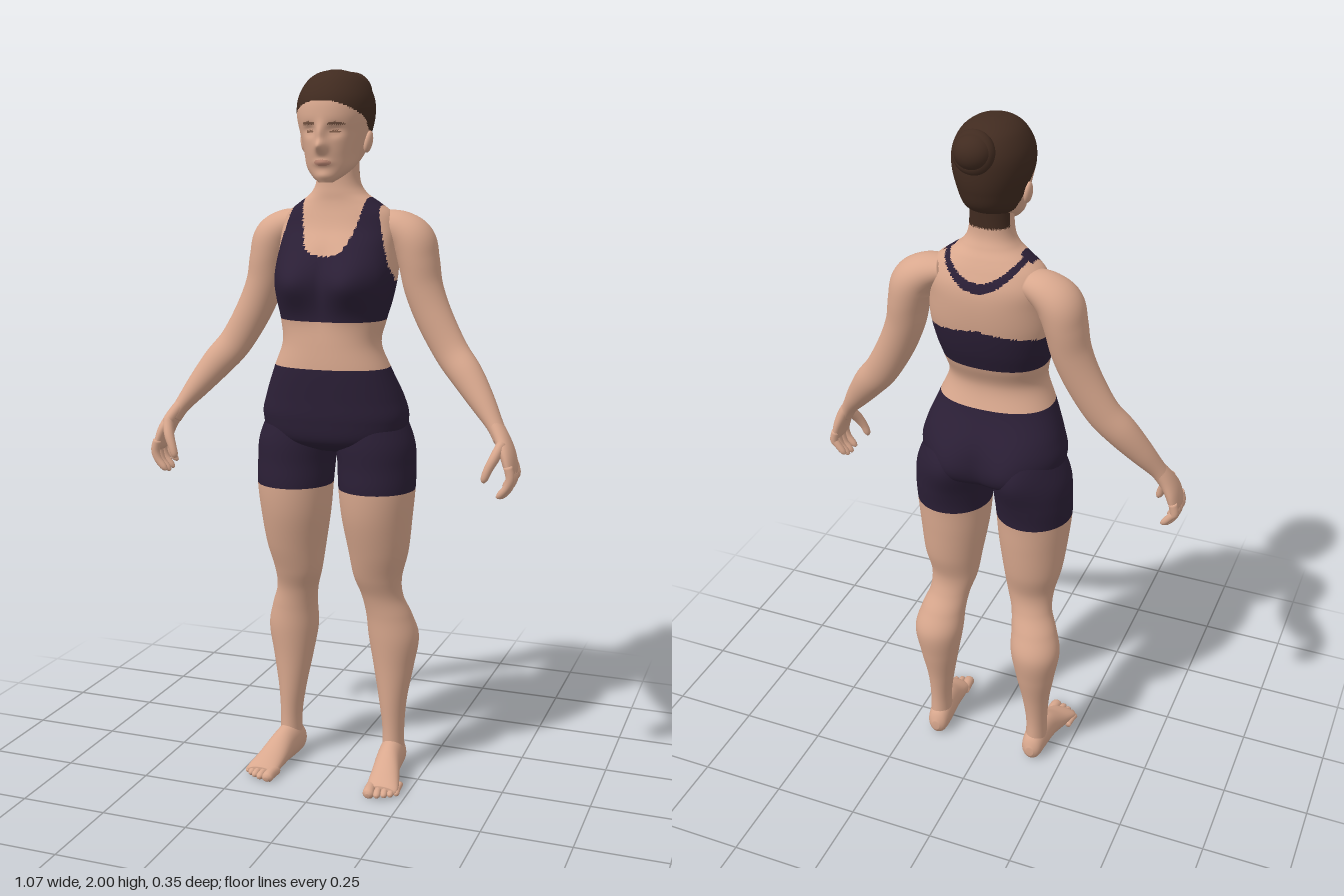
import * as THREE from 'three';

const flat = (name, color) => {
  const m = new THREE.MeshStandardMaterial({ color });
  m.name = name;
  return m;
};
const bell = (a, b) => Math.exp(-a * a - b * b);

// Smooth interpolation through rows of numbers
function sample(rows, t) {
  const n = rows.length - 1;
  const i = Math.min(Math.floor(t * n), n - 1), f = t * n - i;
  const row = k => rows[Math.max(0, Math.min(n, k))];
  return rows[0].map((_, c) => {
    const [a, b, d, e] = [row(i - 1)[c], row(i)[c], row(i + 1)[c], row(i + 2)[c]];
    const m0 = (d - a) / 2, m1 = (e - b) / 2;
    return b + f * (m0 + f * (3 * (d - b) - 2 * m0 - m1 + f * (2 * (b - d) + m0 + m1)));
  });
}

// Closed loft through sections [x, y, z, radiusU, radiusW].
// dir fixes the ring axis; shape moves vertices; paint picks a material index.
function loft(name, rows, mats, { seg = 14, rings = 14, ref = [0, 0, 1], dir, power = 2, shape, paint } = {}) {
  const pos = [], W = new THREE.Vector3(...ref);
  const at = t => new THREE.Vector3(...sample(rows, t).slice(0, 3));
  const put = v => { if (shape) shape(v); pos.push(v.x, v.y, v.z); };
  const round = c => Math.sign(c) * Math.pow(Math.abs(c), 2 / power);
  for (let i = 0; i <= rings; i++) {
    const t = i / rings, s = sample(rows, t);
    const axis = dir ? new THREE.Vector3(...dir)
      : at(Math.min(1, t + 0.02)).sub(at(Math.max(0, t - 0.02))).normalize();
    const w = W.clone().addScaledVector(axis, -W.dot(axis)).normalize();
    const u = axis.clone().cross(w);
    for (let j = 0; j < seg; j++) {
      const a = j / seg * Math.PI * 2;
      put(at(t).addScaledVector(u, s[3] * round(Math.cos(a))).addScaledVector(w, s[4] * round(Math.sin(a))));
    }
  }
  put(at(0));
  put(at(1));
  const faces = mats.map(() => []), first = (rings + 1) * seg;
  const face = (...f) => {
    const c = new THREE.Vector3();
    f.forEach(k => c.add(new THREE.Vector3(pos[k * 3], pos[k * 3 + 1], pos[k * 3 + 2])));
    faces[paint ? paint(c.divideScalar(3)) : 0].push(...f);
  };
  for (let j = 0; j < seg; j++) {
    const k = (j + 1) % seg;
    for (let i = 0; i < rings; i++) {
      const a = i * seg + j, b = i * seg + k;
      face(a, a + seg, b);
      face(b, a + seg, b + seg);
    }
    face(first, j, k);
    face(first + 1, rings * seg + k, rings * seg + j);
  }
  const g = new THREE.BufferGeometry();
  g.setAttribute('position', new THREE.Float32BufferAttribute(pos, 3));
  g.setIndex(faces.flat());
  let start = 0;
  faces.forEach((f, m) => { g.addGroup(start, f.length, m); start += f.length; });
  g.computeVertexNormals();
  const mesh = new THREE.Mesh(g, mats);
  mesh.name = name;
  return mesh;
}

// Chest and seat fullness
function bodyShape(v) {
  const ax = Math.abs(v.x);
  if (v.z > 0) v.z += 0.055 * bell((ax - 0.08) / 0.075, (v.y - 1.44) / 0.07) * Math.min(1, v.z / 0.06);
  else v.z -= 0.035 * bell((ax - 0.09) / 0.08, (v.y - 1.03) / 0.08) * Math.min(1, -v.z / 0.05);
}

// Top with scooped neckline, shoulder straps and a back band
function inTop({ x, y, z }) {
  const ax = Math.abs(x);
  if (y < 1.335 || y > 1.68) return false;
  if (y < 1.44) return true;
  if (z > (y > 1.6 ? -0.045 : 0.01)) {
    return y < 1.51 + 0.12 * Math.pow(ax / 0.085, 4) && ax < 0.168 - (y - 1.46) * 0.25;
  }
  return y < 1.465 - ax * 0.15 || Math.abs(y - 1.585 - 6 * x * x) < 0.013;
}

// Brow, sockets, nose, lips and chin
function faceShape(v) {
  if (v.z < 0.03) return;
  const ax = Math.abs(v.x), { y } = v;
  v.z += 0.026 * bell(v.x / 0.015, (y - 1.797) / 0.016) + 0.014 * bell(v.x / 0.013, (y - 1.83) / 0.025)
    - 0.013 * bell((ax - 0.036) / 0.018, (y - 1.838) / 0.014)
    + 0.005 * bell((ax - 0.036) / 0.012, (y - 1.835) / 0.007)
    + 0.007 * bell(v.x / 0.022, (y - 1.755) / 0.009)
    + 0.005 * bell(v.x / 0.022, (y - 1.72) / 0.012);
}

const hairline = [[-0.2, 1.72], [-0.065, 1.73], [-0.03, 1.775], [0, 1.835], [0.05, 1.875], [0.09, 1.895], [0.12, 1.915], [0.2, 1.915]];
function facePaint({ x, y, z }) {
  const i = hairline.findIndex(p => p[0] > z), [z0, y0] = hairline[i - 1], [z1, y1] = hairline[i];
  if (y > y0 + (y1 - y0) * (z - z0) / (z1 - z0)) return 1;
  const ax = Math.abs(x);
  if (z > 0.03) {
    if (Math.hypot((ax - 0.038) / 0.022, (y - 1.857 + (ax - 0.038) ** 2 * 6) / 0.0045) < 1) return 2;
    if (Math.hypot((ax - 0.036) / 0.013, (y - 1.836) / 0.0035) < 1) return 2;
    if (Math.hypot(x / 0.024, (y - 1.755) / 0.008) < 1) return 3;
  }
  return 0;
}

export function createModel() {
  const skin = flat('skin', 0xd9a88e), cloth = flat('dark purple cloth', 0x2b1f36);
  const hair = flat('brown hair', 0x412b20), brow = flat('brow', 0x85604c), lip = flat('lips', 0xc08a76);
  const body = new THREE.Group();
  body.name = 'standingWoman';

  // Torso and neck: [y, half width, front z, back z]
  const torso = [
    [0.97, 0.06, 0.07, -0.08], [1.0, 0.18, 0.12, -0.11], [1.06, 0.208, 0.135, -0.12], [1.12, 0.196, 0.138, -0.115],
    [1.2, 0.165, 0.14, -0.08], [1.27, 0.138, 0.136, -0.063], [1.33, 0.146, 0.13, -0.085], [1.39, 0.16, 0.125, -0.108],
    [1.46, 0.17, 0.115, -0.125], [1.53, 0.166, 0.095, -0.132], [1.58, 0.164, 0.066, -0.128], [1.62, 0.148, 0.05, -0.112],
    [1.65, 0.11, 0.042, -0.096], [1.675, 0.076, 0.04, -0.08], [1.71, 0.059, 0.038, -0.068], [1.78, 0.055, 0.04, -0.07],
  ].map(([y, rx, f, b]) => [0, y, (f + b) / 2, rx, (f - b) / 2]);
  body.add(loft('torso', torso, [skin, cloth, hair], {
    seg: 112, rings: 165, dir: [0, 1, 0], power: 2.3, shape: bodyShape,
    paint: p => (p.y < 1.205 || inTop(p) ? 1 : p.y > 1.725 && p.z < -0.03 ? 2 : 0),
  }));

  // Head
  body.add(loft('head', [
    [0, 1.703, 0.085, 0.018, 0.016], [0, 1.72, 0.068, 0.042, 0.038], [0, 1.745, 0.044, 0.064, 0.066],
    [0, 1.78, 0.014, 0.077, 0.104], [0, 1.83, 0.004, 0.091, 0.118], [0, 1.88, 0.002, 0.102, 0.124],
    [0, 1.925, 0, 0.099, 0.118], [0, 1.965, -0.002, 0.079, 0.094], [0, 1.988, 0, 0.05, 0.06], [0, 1.998, 0, 0.015, 0.02],
  ], [skin, hair, brow, lip], { seg: 112, rings: 100, dir: [0, 1, 0], power: 2.1, shape: faceShape, paint: facePaint }));

  // Hair bun with coils
  const bun = new THREE.Group();
  bun.name = 'hairBun';
  bun.position.set(0, 1.945, -0.132);
  const core = new THREE.Mesh(new THREE.SphereGeometry(0.045, 32, 20), hair);
  core.name = 'bunCore';
  core.scale.x = 1.1;
  bun.add(core);
  [[0.034, 0.021, 0.25], [0.026, 0.018, -0.9]].forEach(([r, tube, tilt]) => {
    const coil = new THREE.Mesh(new THREE.TorusGeometry(r, tube, 14, 36), hair);
    coil.name = 'bunCoil';
    coil.rotation.x = tilt;
    bun.add(coil);
  });
  body.add(bun);

  for (const s of [1, -1]) {
    const side = s > 0 ? 'left' : 'right';
    const add = (name, rows, opts, mats = [skin], parent = body) =>
      parent.add(loft(side + name, rows.map(([x, ...r]) => [x * s, ...r]), mats, opts));

    // Ear
    const ear = new THREE.Mesh(new THREE.SphereGeometry(1, 20, 14), skin);
    ear.name = side + 'Ear';
    ear.scale.set(0.011, 0.03, 0.018);
    ear.position.set(s * 0.091, 1.81, 0.002);
    ear.rotation.set(-0.2, 0, -s * 0.15);
    body.add(ear);

    // Leg
    add('Leg', [
      [0.1, 1.09, 0, 0.085, 0.1], [0.114, 1.0, 0, 0.109, 0.115], [0.12, 0.93, 0, 0.11, 0.116], [0.122, 0.865, 0.005, 0.108, 0.113],
      [0.122, 0.78, 0.003, 0.1, 0.104], [0.124, 0.68, -0.005, 0.086, 0.084], [0.121, 0.6, -0.01, 0.07, 0.06],
      [0.13, 0.54, -0.026, 0.061, 0.052], [0.145, 0.48, -0.044, 0.067, 0.06], [0.155, 0.41, -0.058, 0.073, 0.07],
      [0.156, 0.32, -0.056, 0.058, 0.06], [0.157, 0.22, -0.048, 0.04, 0.047], [0.16, 0.13, -0.045, 0.031, 0.04],
      [0.16, 0.04, -0.045, 0.033, 0.044],
    ].reverse(), { seg: 56, rings: 120, dir: [0, 1, 0], shape: bodyShape, paint: p => (p.y > 0.865 ? 1 : 0) }, [skin, cloth]);

    // Foot and toes
    const foot = new THREE.Group();
    foot.name = side + 'Foot';
    body.add(foot);
    const ground = v => { v.y = Math.max(v.y, 0.003); };
    add('Sole', [
      [0.158, 0.038, -0.102, 0.012, 0.015], [0.158, 0.044, -0.085, 0.03, 0.042], [0.16, 0.054, -0.04, 0.036, 0.054],
      [0.166, 0.05, 0.02, 0.037, 0.049], [0.176, 0.033, 0.08, 0.043, 0.032], [0.184, 0.022, 0.125, 0.046, 0.02],
      [0.186, 0.018, 0.14, 0.038, 0.013],
    ], { seg: 32, rings: 36, ref: [0, 1, 0], dir: [0, 0, 1], shape: ground }, [skin], foot);
    for (let i = 0; i < 5; i++) {
      const x = [0.152, 0.176, 0.194, 0.21, 0.224][i], z = [0.172, 0.17, 0.162, 0.152, 0.139][i], r = i ? 0.0105 - i * 0.0004 : 0.016;
      add('Toe', [[x - 0.003, 0.018, z - 0.06, r, r], [x, 0.018, z - 0.025, r, r], [x + 0.002, 0.014, z - 0.008, r, r * 0.95],
        [x + 0.002, 0.012, z, r * 0.4, r * 0.4]], { ref: [0, 1, 0], shape: ground }, [skin], foot);
    }

    // Arm
    add('Arm', [
      [0.115, 1.595, -0.05, 0.035, 0.05], [0.165, 1.578, -0.053, 0.05, 0.062], [0.203, 1.545, -0.054, 0.06, 0.069],
      [0.22, 1.49, -0.053, 0.056, 0.067], [0.235, 1.42, -0.05, 0.053, 0.058], [0.268, 1.34, -0.044, 0.051, 0.049],
      [0.32, 1.25, -0.034, 0.048, 0.041], [0.37, 1.19, -0.016, 0.045, 0.042], [0.42, 1.125, 0.008, 0.035, 0.036],
      [0.463, 1.066, 0.032, 0.023, 0.028], [0.485, 1.03, 0.045, 0.021, 0.03],
    ], { seg: 40, rings: 60 });

    // Hand, fingers and thumb
    const hand = new THREE.Group();
    hand.name = side + 'Hand';
    body.add(hand);
    add('Palm', [
      [0.462, 1.07, 0.032, 0.02, 0.026], [0.485, 1.035, 0.044, 0.021, 0.033], [0.505, 0.995, 0.055, 0.02, 0.044],
      [0.517, 0.955, 0.06, 0.016, 0.045], [0.519, 0.94, 0.06, 0.008, 0.036],
    ], { seg: 28, rings: 24 }, [skin], hand);
    for (let i = 0; i < 4; i++) {
      const z = 0.024 + i * 0.024, d = [0.02, 0.004, 0, 0.006][i];
      add('Finger', [[0.515, 0.97, z, 0.012, 0.012], [0.522, 0.94, z, 0.0125, 0.012], [0.514, 0.908 + d, z, 0.011, 0.011],
        [0.496, 0.886 + d, z, 0.0095, 0.0095], [0.487, 0.878 + d, z, 0.004, 0.004]], {}, [skin], hand);
    }
    add('Thumb', [[0.492, 1.025, 0.07, 0.014, 0.018], [0.478, 0.99, 0.094, 0.014, 0.016], [0.464, 0.96, 0.105, 0.012, 0.012],
      [0.455, 0.935, 0.108, 0.01, 0.01], [0.452, 0.925, 0.108, 0.004, 0.004]], {}, [skin], hand);
  }
  return body;
}
